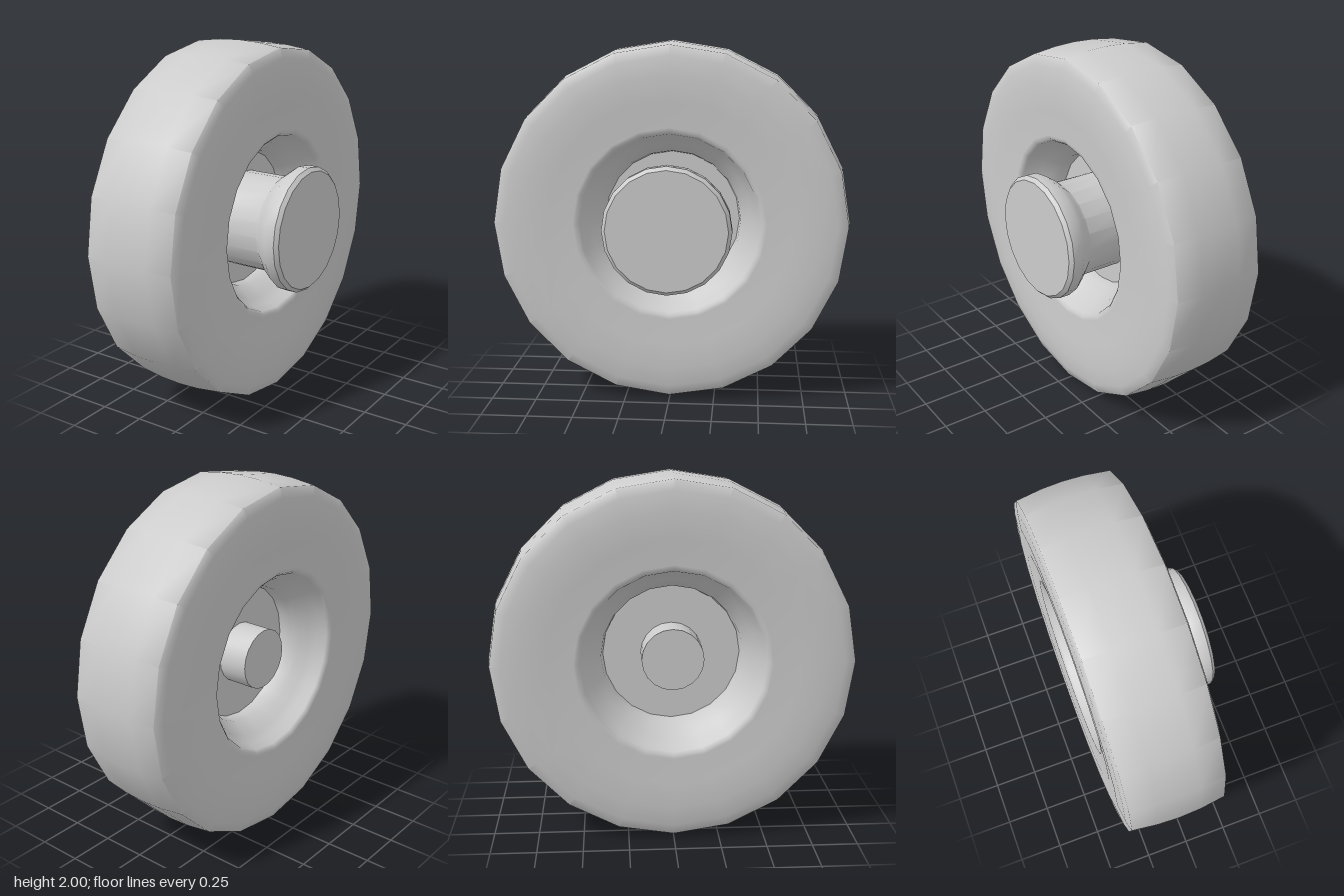
import * as THREE from 'three';
import { toCreasedNormals } from 'three/addons/utils/BufferGeometryUtils.js';

const SIDES = 20;
const MID = -0.09; // middle plane of the tyre along the axle

// Turn a [radius, x] profile around the axle, which runs along x.
function turned(name, profile, crease) {
  const points = profile.map(([r, x]) => new THREE.Vector2(r, x));
  const geometry = toCreasedNormals(new THREE.LatheGeometry(points, SIDES), crease);
  geometry.rotateZ(-Math.PI / 2);
  const material = new THREE.MeshStandardMaterial({ color: 0xcccccc });
  const mesh = new THREE.Mesh(geometry, material);
  mesh.name = name;
  return mesh;
}

export function createModel() {
  const wheel = new THREE.Group();
  wheel.name = 'wheel';
  wheel.position.y = 1;

  // Tyre: half section from tread to the middle of the bore, mirrored
  const half = [
    [1.0, 0], [0.995, 0.12], [0.977, 0.265], [0.92, 0.28], [0.82, 0.29],
    [0.68, 0.286], [0.535, 0.272], [0.515, 0.272], [0.5, 0.255],
    [0.485, 0.2], [0.45, 0.165], [0.425, 0.12], [0.39, 0.08], [0.38, 0.02],
  ];
  const rightHalf = half.map(([r, x]) => [r, MID + x]);
  const leftHalf = half.slice(1).reverse().map(([r, x]) => [r, MID - x]);
  const tyreProfile = [...leftHalf, ...rightHalf, leftHalf[0]];
  wheel.add(turned('tyre', tyreProfile, 1.2));

  // Web closing the bore
  wheel.add(turned('web', [[0, -0.1], [0.385, -0.1], [0.385, -0.06], [0, -0.06]], 0.6));

  // Hub with flared, chamfered cap
  wheel.add(turned('hub', [
    [0.27, -0.07], [0.27, 0.2], [0.31, 0.245], [0.35, 0.3],
    [0.35, 0.36], [0.33, 0.38], [0, 0.38],
  ], 0.75));

  // Axle stub on the inner side
  wheel.add(turned('axleStub', [[0, -0.27], [0.17, -0.27], [0.17, -0.09]], 0.6));

  const model = new THREE.Group();
  model.name = 'wheelModel';
  model.add(wheel);
  return model;
}
